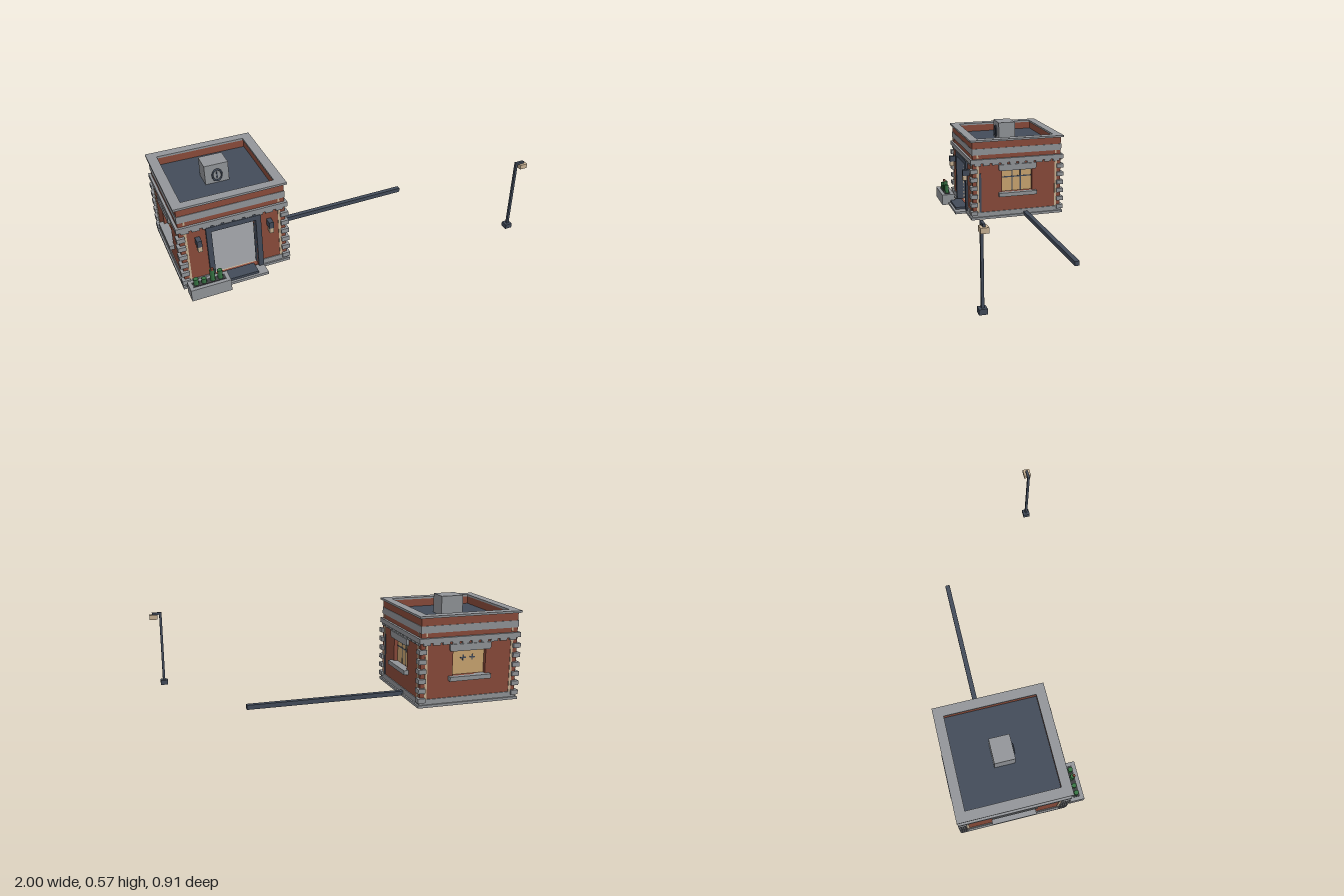
import * as THREE from 'three';

const mat = (name, color) => {
  const m = new THREE.MeshStandardMaterial({ color });
  m.name = name;
  return m;
};

export function createModel() {
  const brick = mat('brick', 0x8b4c3b);
  const stone = mat('stone', 0x93969a);
  const slate = mat('slate', 0x434c5a);
  const tan = mat('tan', 0xc8b294);
  const amber = mat('amberGlass', 0xcda872);
  const green = mat('leafGreen', 0x387544);
  const charcoal = mat('charcoal', 0x3d3e40);
  const model = new THREE.Group();
  model.name = 'gatehouse';

  const add = (parent, name, geo, m, x = 0, y = 0, z = 0) => {
    const mesh = new THREE.Mesh(geo, m);
    mesh.name = name;
    mesh.position.set(x, y, z);
    parent.add(mesh);
    return mesh;
  };
  // box given by its limits on each axis
  const box = (parent, name, m, x0, x1, y0, y1, z0, z1) =>
    add(parent, name, new THREE.BoxGeometry(x1 - x0, y1 - y0, z1 - z0), m,
      (x0 + x1) / 2, (y0 + y1) / 2, (z0 + z1) / 2);
  const rect = (P, x0, x1, y0, y1) => {
    const p = new P();
    p.moveTo(x0, y0); p.lineTo(x1, y0); p.lineTo(x1, y1); p.lineTo(x0, y1); p.closePath();
    return p;
  };
  // upright panel with a rectangular opening
  const panel = (half, y0, y1, hole, depth) => {
    const s = rect(THREE.Shape, -half, half, y0, y1);
    s.holes.push(rect(THREE.Path, ...hole));
    return new THREE.ExtrudeGeometry(s, { depth, bevelEnabled: false });
  };
  // level square ring
  const ring = (parent, name, m, outer, inner, y0, y1) => {
    const s = rect(THREE.Shape, -outer, outer, -outer, outer);
    s.holes.push(rect(THREE.Path, -inner, inner, -inner, inner));
    const g = new THREE.ExtrudeGeometry(s, { depth: y1 - y0, bevelEnabled: false });
    g.rotateX(-Math.PI / 2);
    return add(parent, name, g, m, 0, y0, 0);
  };

  const house = new THREE.Group();
  house.name = 'house';
  house.position.set(-0.68, 0, -0.134);
  model.add(house);
  const H = 0.293, T = 0.03;

  // base, floor and roof
  ring(house, 'plinth', stone, 0.307, 0.26, 0, 0.015);
  box(house, 'floor', stone, -0.264, 0.264, 0.005, 0.02, -0.264, 0.264);
  box(house, 'ceiling', tan, -0.264, 0.264, 0.4, 0.41, -0.264, 0.264);
  box(house, 'roof', slate, -0.264, 0.264, 0.45, 0.46, -0.264, 0.264);
  ring(house, 'lowerCornice', stone, 0.307, 0.28, 0.365, 0.393);
  ring(house, 'friezeBand', stone, 0.296, 0.27, 0.42, 0.46);
  ring(house, 'parapet', brick, H, 0.258, 0.393, 0.505);
  ring(house, 'coping', stone, 0.308, 0.254, 0.505, 0.517);

  // four walls, each built facing +z and turned into place
  ['front', 'right', 'back', 'left'].forEach((label, i) => {
    const wall = new THREE.Group();
    wall.name = label + 'Wall';
    wall.rotation.y = i * Math.PI / 2;
    house.add(wall);
    const front = i === 0;
    const half = i % 2 ? H - T : H;
    const hole = front ? [-0.123, 0.123, 0.02, 0.325] : [-0.1, 0.1, 0.168, 0.312];
    add(wall, 'brickWall', panel(half, 0.0155, 0.393, hole, T), brick, 0, 0, H - T);
    add(wall, 'lining', panel(H - T - 0.001, 0.02, 0.4, hole, 0.006),
      i === 3 ? charcoal : tan, 0, 0, H - T - 0.007);

    for (let k = 0; k < 10; k++) {
      const x = (k - 4.5) * 0.058;
      box(wall, 'dentil', stone, x - 0.021, x + 0.021, 0.351, 0.366, H, 0.303);
    }
    for (const s of [-1, 1]) {
      const c = s * 0.26;
      box(wall, 'cornerStrip', tan, c - 0.007, c + 0.007, 0.045, 0.351, H, H + 0.003);
      box(wall, 'cornerStripTop', tan, c - 0.005, c + 0.005, 0.4, 0.42, H, H + 0.002);
    }

    if (front) {
      // door surround, wall lamps and skirting either side
      for (const s of [-1, 1]) {
        const a = s > 0 ? 0.123 : -0.152;
        box(wall, 'doorJamb', slate, a, a + 0.029, 0.015, 0.355, 0.25, 0.306);
        const b = s > 0 ? 0.152 : -0.297;
        box(wall, 'skirting', stone, b, b + 0.145, 0.015, 0.045, H - 0.01, 0.298);
        const l = s * 0.199;
        box(wall, 'wallLampHood', slate, l - 0.013, l + 0.013, 0.27, 0.308, H, 0.338);
        box(wall, 'wallLampGlow', tan, l - 0.012, l + 0.012, 0.24, 0.27, 0.311, 0.338);
      }
      box(wall, 'doorHead', slate, -0.123, 0.123, 0.325, 0.355, 0.25, 0.306);
      return;
    }
    // window with thin glazing bars set well back in the opening
    box(wall, 'skirting', stone, -0.297, 0.297, 0.015, 0.045, H - 0.01, 0.298);
    box(wall, 'windowGlass', amber, -0.1, 0.1, 0.168, 0.312, 0.262, 0.27);
    box(wall, 'windowSill', stone, -0.125, 0.125, 0.143, 0.168, H - 0.02, 0.32);
    const lintel = new THREE.Shape();
    [[-0.118, 0.311], [0.118, 0.311], [0.125, 0.322], [0.125, 0.351], [-0.125, 0.351], [-0.125, 0.322]]
      .forEach(([x, y], k) => (k ? lintel.lineTo(x, y) : lintel.moveTo(x, y)));
    add(wall, 'windowLintel', new THREE.ExtrudeGeometry(lintel, { depth: 0.03, bevelEnabled: false }),
      stone, 0, 0, 0.278);
    const full = i !== 2;
    for (const x of [-0.028, 0.028]) {
      const [y0, y1] = full ? [0.168, 0.312] : [0.245, 0.279];
      box(wall, 'mullion', slate, x - 0.004, x + 0.004, y0, y1, 0.261, 0.271);
      if (!full) box(wall, 'glazingBar', slate, x - 0.017, x + 0.017, 0.258, 0.266, 0.261, 0.271);
    }
    if (full) box(wall, 'glazingBar', slate, -0.1, 0.1, 0.257, 0.265, 0.261, 0.271);
    if (i === 1) box(wall, 'darkStrip', slate, -0.253, -0.238, 0.015, 0.3, H, H + 0.004);
  });

  // corner quoins
  for (const sx of [-1, 1]) for (const sz of [-1, 1]) for (let k = 0; k < 6; k++) {
    const w = 0.044, c = 0.309 - w / 2, y = 0.042 + k * 0.055;
    add(house, 'quoin', new THREE.BoxGeometry(w, 0.026, w), stone, sx * c, y, sz * c);
  }

  // rooftop unit with a tall oval vent
  box(house, 'rooftopUnit', stone, -0.067, 0.067, 0.46, 0.573, -0.054, 0.058);
  const vent = new THREE.TorusGeometry(0.026, 0.005, 6, 16);
  vent.scale(1, 1.3, 1);
  add(house, 'ventRing', vent, slate, 0, 0.508, 0.063);
  box(house, 'ventBar', slate, -0.003, 0.003, 0.49, 0.526, 0.058, 0.064);

  // interior desk, screen and small plants
  box(house, 'deskTop', tan, -0.12, 0.12, 0.12, 0.132, -0.24, -0.13);
  box(house, 'deskFront', tan, -0.12, 0.12, 0.02, 0.12, -0.15, -0.14);
  box(house, 'screen', stone, -0.04, 0.04, 0.165, 0.21, -0.2, -0.19);
  box(house, 'screenStand', slate, -0.012, 0.012, 0.132, 0.166, -0.2, -0.19);
  for (const x of [-0.1, -0.07, 0.06, 0.095]) {
    add(house, 'deskPlant', new THREE.IcosahedronGeometry(0.016, 0), green, x, 0.165, -0.22);
    box(house, 'deskPot', tan, x - 0.01, x + 0.01, 0.132, 0.155, -0.23, -0.21);
  }

  // entrance step and mat
  box(model, 'entranceStep', stone, -0.8, -0.527, 0, 0.015, 0.15, 0.244);
  box(model, 'doorMat', slate, -0.777, -0.58, 0.015, 0.029, 0.15, 0.23);

  // planter with columnar plants
  box(model, 'planter', stone, -0.972, -0.752, 0, 0.07, 0.202, 0.286);
  box(model, 'soil', charcoal, -0.952, -0.772, 0.07, 0.073, 0.224, 0.264);
  [[-0.932, 0.11], [-0.889, 0.1], [-0.842, 0.142], [-0.8, 0.125]].forEach(([x, top]) => {
    const h = top - 0.07;
    add(model, 'planterPlant', new THREE.CylinderGeometry(0.014, 0.014, h, 8), green, x, 0.07 + h / 2, 0.245);
  });
  box(model, 'flower', brick, -0.849, -0.835, 0.142, 0.155, 0.245, 0.259);

  // long low barrier
  box(model, 'barrier', slate, -0.387, 0.535, 0.003, 0.029, -0.203, -0.175);

  // street lamp
  box(model, 'lampBase', slate, 0.914, 0.956, 0, 0.028, 0.414, 0.455);
  box(model, 'lampPost', slate, 0.929, 0.943, 0.028, 0.449, 0.427, 0.441);
  box(model, 'lampArm', slate, 0.943, 0.985, 0.435, 0.448, 0.427, 0.441);
  box(model, 'lampHead', tan, 0.955, 1.0, 0.408, 0.435, 0.414, 0.454);
  return model;
}
